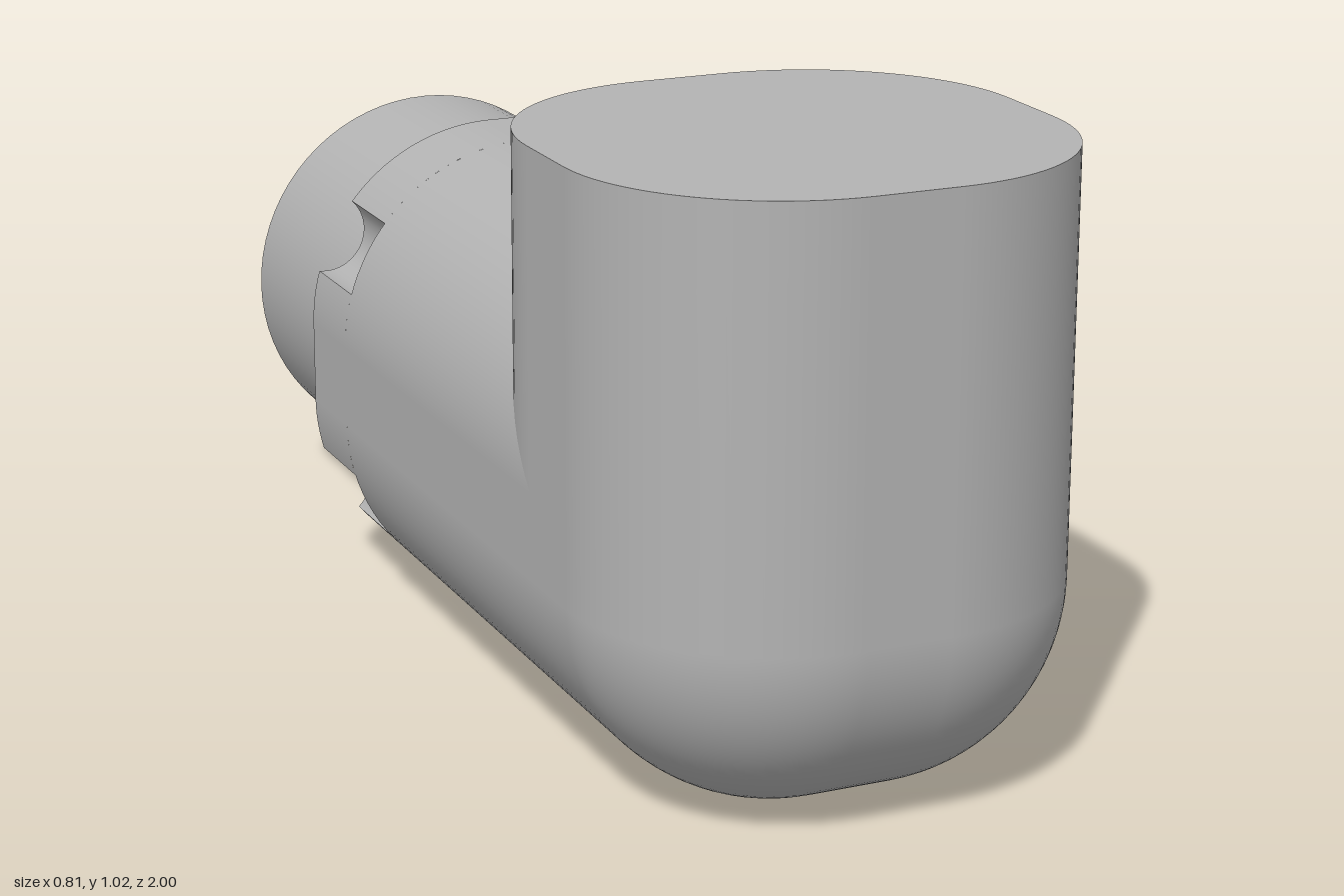
import * as THREE from 'three';

const H = 0.406;          // half width of the rounded-square section
const R = 0.336;          // its corner radius
const F = H - R;          // half length of its flat sides
const TOP = 1.02, ZC = 1 - H, NOTCH_Z = -0.32, END_Z = -0.488;

// One quadrant of the section as [x, o, normalX, normalO], optionally with a scooped notch
function quadrant(notched) {
  const pts = [];
  const corner = (a0, a1, n) => {
    for (let i = 0; i <= n; i++) {
      const a = a0 + (a1 - a0) * i / n, c = Math.cos(a), s = Math.sin(a);
      pts.push([F + R * c, F + R * s, c, s]);
    }
  };
  if (!notched) {
    corner(0, Math.PI / 2, 24);
    return pts;
  }
  const a1 = 0.283, a2 = 0.69, mid = (a1 + a2) / 2, half = (a2 - a1) / 2;
  const out = 0.0206, chord = R * Math.sin(half), dist = R * Math.cos(half) + out;
  const r = Math.hypot(chord, out), beta = Math.atan2(chord, out);
  corner(0, a1, 6);
  for (let i = 0; i <= 14; i++) {
    const a = mid + Math.PI + beta * (1 - i / 7), c = Math.cos(a), s = Math.sin(a);
    pts.push([F + dist * Math.cos(mid) + r * c, F + dist * Math.sin(mid) + r * s, -c, -s]);
  }
  corner(a2, Math.PI / 2, 14);
  return pts;
}

// Full closed outline, mirrored from the quadrant
function section(notched) {
  const q = quadrant(notched), loop = [];
  for (const [sx, so] of [[1, 1], [-1, 1], [-1, -1], [1, -1]]) {
    const m = q.map(([x, o, nx, no]) => [sx * x, so * o, sx * nx, so * no]);
    loop.push(...(sx * so < 0 ? m.reverse() : m));
  }
  loop.push(loop[0]);
  return loop;
}

// Point on the bend: rounded on the outside, mitred on the inside
function bend([x, o], t) {
  const c = Math.min(o, F), r = Math.max(0, o - F);
  return [x, H - c - r * Math.sin(t), ZC + c + r * Math.cos(t)];
}

// Skin through rows of a section; each row gives a turn angle and a position rule
function skin(loop, rows) {
  const pos = [], nor = [], idx = [], n = loop.length;
  rows.forEach(({ t, at }, i) => {
    loop.forEach((p, j) => {
      pos.push(...at(p));
      nor.push(p[2], -p[3] * Math.sin(t), p[3] * Math.cos(t));
      if (i + 1 < rows.length && j + 1 < n) {
        const a = i * n + j, b = a + n;
        idx.push(a, a + 1, b, a + 1, b + 1, b);
      }
    });
  });
  const g = new THREE.BufferGeometry();
  g.setAttribute('position', new THREE.Float32BufferAttribute(pos, 3));
  g.setAttribute('normal', new THREE.Float32BufferAttribute(nor, 3));
  g.setIndex(idx);
  return g;
}

function cap(loop, hole) {
  const shape = new THREE.Shape(loop.slice(0, -1).map(([x, o]) => new THREE.Vector2(x, o)));
  if (hole) shape.holes.push(new THREE.Path().absarc(0, 0, hole, 0, Math.PI * 2, true));
  return new THREE.ShapeGeometry(shape, 32);
}

export function createModel() {
  const group = new THREE.Group();
  const grey = new THREE.MeshStandardMaterial({ color: 0xb3b3b3 });
  grey.name = 'plain grey';
  const add = (name, geometry) => {
    const mesh = new THREE.Mesh(geometry, grey);
    mesh.name = name;
    group.add(mesh);
  };
  const plain = section(false), notched = section(true), Q = Math.PI / 2;
  const bendRow = (t) => ({ t, at: (p) => bend(p, t) });
  const flatRow = (z) => ({ t: Q, at: ([x, o]) => [x, H - o, z] });

  // Upright leg, rounded elbow and level leg
  add('uprightLeg', skin(plain, [{ t: 0, at: ([x, o]) => [x, TOP, ZC + o] }, bendRow(0)]));
  add('elbow', skin(plain, Array.from({ length: 25 }, (_, i) => bendRow(Q * i / 24))));
  add('levelLeg', skin(plain, [bendRow(Q), flatRow(NOTCH_Z)]));
  add('topFace', cap(plain).rotateX(-Q).translate(0, TOP, ZC));

  // Collar with four scooped notches and their end walls
  add('notchEndWalls', cap(plain, 0.32).rotateY(Math.PI).translate(0, H, NOTCH_Z));
  add('notchedCollar', skin(notched, [flatRow(NOTCH_Z), flatRow(END_Z)]));
  add('collarFace', cap(notched, 0.32).rotateY(Math.PI).translate(0, H, END_Z));

  // Round spigot at the back
  const length = 1 + NOTCH_Z;
  add('spigot', new THREE.CylinderGeometry(0.337, 0.337, length, 72)
    .rotateX(Q).translate(0, H, -1 + length / 2));
  return group;
}
